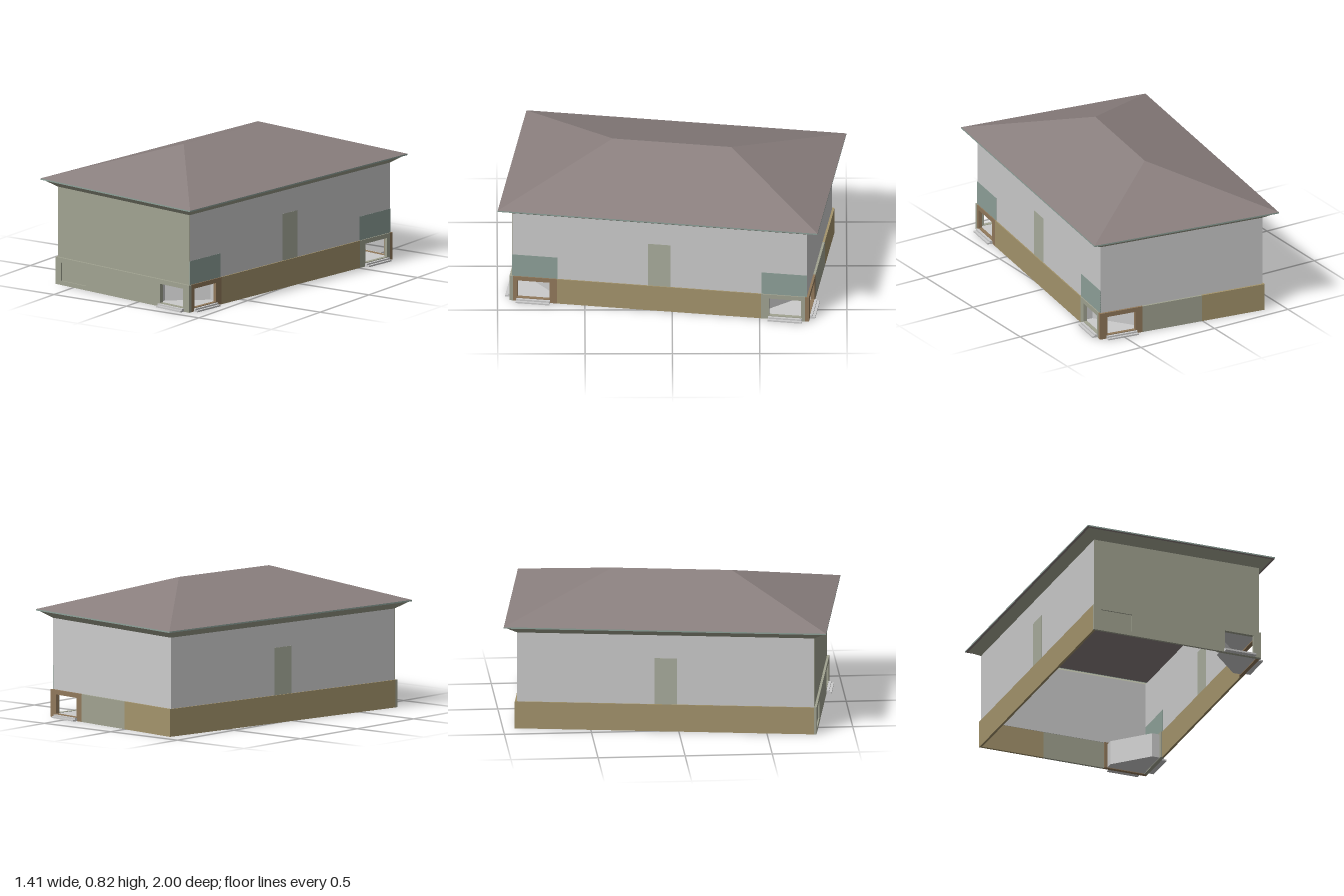
import * as THREE from 'three';

const GREY = 0xcccccc, SAGE = 0xa1a391, TAN = 0xa4946c, BROWN = 0x91795b;
const TEAL = 0x8ea199, WINDOW = 0xa9ad9d, ROOF = 0x8a7f7e;
const HW = 0.517, HL = 0.866;            // half sizes of the base
const WW = 0.51, WL = 0.853;             // half sizes of the upper walls
const BASE = 0.16, TOP = 0.572;          // heights of base and walls
const FRONT = 0, RIGHT = Math.PI / 2, BACK = Math.PI, LEFT = -Math.PI / 2;

const mat = (color) => new THREE.MeshStandardMaterial({ color, side: THREE.DoubleSide, flatShading: true });

function add(parent, name, geometry, color) {
  const mesh = new THREE.Mesh(geometry, mat(color));
  mesh.name = name;
  parent.add(mesh);
  return mesh;
}

function rectPath(Type, a0, a1, y0, y1) {
  const p = new Type();
  p.moveTo(a0, y0).lineTo(a1, y0).lineTo(a1, y1).lineTo(a0, y1).closePath();
  return p;
}

// Wall slab on one side of the house; its outer face lies at dist from the middle
function slab(parent, name, side, dist, [a0, a1, y0, y1], color, depth, hole) {
  const shape = rectPath(THREE.Shape, a0, a1, y0, y1);
  if (hole) shape.holes.push(rectPath(THREE.Path, ...hole));
  const g = new THREE.ExtrudeGeometry(shape, { depth, bevelEnabled: false });
  g.translate(0, 0, dist - depth).rotateY(side);
  return add(parent, name, g, color);
}

// Faces given as loops of points, fanned into triangles
function faces(list) {
  const pos = [];
  for (const f of list)
    for (let i = 1; i < f.length - 1; i++) pos.push(...f[0], ...f[i], ...f[i + 1]);
  const g = new THREE.BufferGeometry();
  g.setAttribute('position', new THREE.Float32BufferAttribute(pos, 3));
  g.computeVertexNormals();
  return g;
}

const ring = (w, l, y) => [[-w, y, l], [w, y, l], [w, y, -l], [-w, y, -l]];

// Four-sided strip between two rectangular rings, lower ring first
function strip(lo, hi) {
  return faces(lo.map((p, i) => [p, lo[(i + 1) % 4], hi[(i + 1) % 4], hi[i]]));
}

// Horizontal plate from a plan outline in x and z
function plate(points, top, thickness) {
  const g = new THREE.ExtrudeGeometry(new THREE.Shape(points.map((p) => new THREE.Vector2(...p))),
    { depth: thickness, bevelEnabled: false });
  return g.rotateX(Math.PI / 2).translate(0, top, 0);
}

function addRoof(house) {
  const w = 0.579, l = 0.925, r = 0.343, y = 0.622, h = 0.816;
  const [a, b, c, d] = ring(w, l, y);
  const f = [0, h, r], k = [0, h, -r];
  add(house, 'hipRoof', faces([[a, b, f], [b, c, k, f], [c, d, k], [d, a, f, k]]), ROOF);
  add(house, 'fascia', strip(ring(w, l, 0.614), ring(w, l, y)), TEAL);
  add(house, 'eaveRim', strip(ring(w - 0.014, l - 0.014, 0.612), ring(w, l, 0.614)), ROOF);
  add(house, 'soffit', strip(ring(WW, WL, TOP), ring(w - 0.014, l - 0.014, 0.612)), SAGE);
}

function addUpperWalls(house) {
  const t = 0.003;
  slab(house, 'frontWall', FRONT, WL, [-WW, WW, BASE, TOP], SAGE, t);
  slab(house, 'backWall', BACK, WL, [-WW, WW, BASE, TOP], GREY, t);
  for (const [name, side] of [['right', RIGHT], ['left', LEFT]]) {
    slab(house, name + 'Wall', side, WW, [-WL + t, WL - t, BASE, TOP], GREY, t);
    // flush panel, slightly thicker than the wall so it shows inside and out
    slab(house, name + 'TallWindow', side, WW + 0.001, [-0.064, 0.064, BASE, 0.435], WINDOW, t + 0.002);
  }
  for (const s of [-1, 1])
    slab(house, 'cornerPanel', RIGHT, WW + 0.001,
      s < 0 ? [-WL, -0.59, BASE, 0.3] : [0.59, WL, BASE, 0.3], TEAL, t + 0.002);
}

function addBase(house) {
  const t = 0.014, e = HL - t;
  const garage = [-0.472, -0.28, 0.025, 0.132];
  slab(house, 'frontBase', FRONT, HL, [-HW, 0.25, 0, BASE], SAGE, t, garage);
  slab(house, 'garageDoor', FRONT, HL - 0.008, garage, SAGE, 0.008);
  slab(house, 'rightBase', RIGHT, HW, [-0.59, 0.59, 0, BASE], TAN, t);
  slab(house, 'leftBase', LEFT, HW, [-e, e, 0, BASE], TAN, t);
  slab(house, 'backBase', BACK, HL, [-0.25, 0.124, 0, BASE], SAGE, t);
  slab(house, 'backBaseEnd', BACK, HL, [0.124, HW, 0, BASE], TAN, t);
}

// Open corner porch: two pierced walls, a slanted inner wall, floor, ceiling and steps
function addPorch(house, s, endColor, sideColor) {
  const porch = new THREE.Group();
  porch.name = s > 0 ? 'frontPorch' : 'backPorch';
  house.add(porch);
  const t = 0.022, y0 = 0.022, y1 = 0.134;
  const span = (a, b, ...ys) => [Math.min(a, b), Math.max(a, b), ...ys];

  slab(porch, 'porchEndWall', s > 0 ? FRONT : BACK, HL, span(s * 0.25, s * HW, 0, BASE), endColor, t,
    span(s * 0.294, s * 0.472, y0, y1));
  slab(porch, 'porchSideWall', RIGHT, HW, span(-s * 0.59, -s * (HL - t), 0, BASE), sideColor, t,
    span(-s * 0.635, -s * 0.82, y0, y1));

  const inner = [[0.27, 0.85], [0.27, 0.8], [0.45, 0.61], [0.5, 0.61]].map(([x, z]) => [x, s * z]);
  const plan = [...inner, [0.505, s * 0.854]];
  add(porch, 'porchFloor', plate(plan, 0.02, 0.016), GREY);
  add(porch, 'porchCeiling', plate(plan, 0.15, 0.008), GREY);
  const walls = inner.slice(1).map(([x, z], i) => {
    const [px, pz] = inner[i];
    return [[px, 0.005, pz], [x, 0.005, z], [x, 0.15, z], [px, 0.15, pz]];
  });
  add(porch, 'porchInnerWall', faces(walls), GREY);

  // two shallow steps at each opening
  for (const [out, y] of [[0.03, 0.005], [0.015, 0.014]]) {
    add(porch, 'endStep', new THREE.BoxGeometry(0.19, 0.009, out), GREY)
      .position.set(0.383, y, s * (HL + out / 2));
    add(porch, 'sideStep', new THREE.BoxGeometry(out, 0.009, 0.195), GREY)
      .position.set(HW + out / 2, y, s * 0.728);
  }
}

export function createModel() {
  const model = new THREE.Group();
  model.name = 'house';
  addRoof(model);
  addUpperWalls(model);
  addBase(model);
  addPorch(model, 1, SAGE, BROWN);
  addPorch(model, -1, BROWN, SAGE);
  model.rotation.y = -0.1455;   // the house stands slightly turned
  return model;
}
